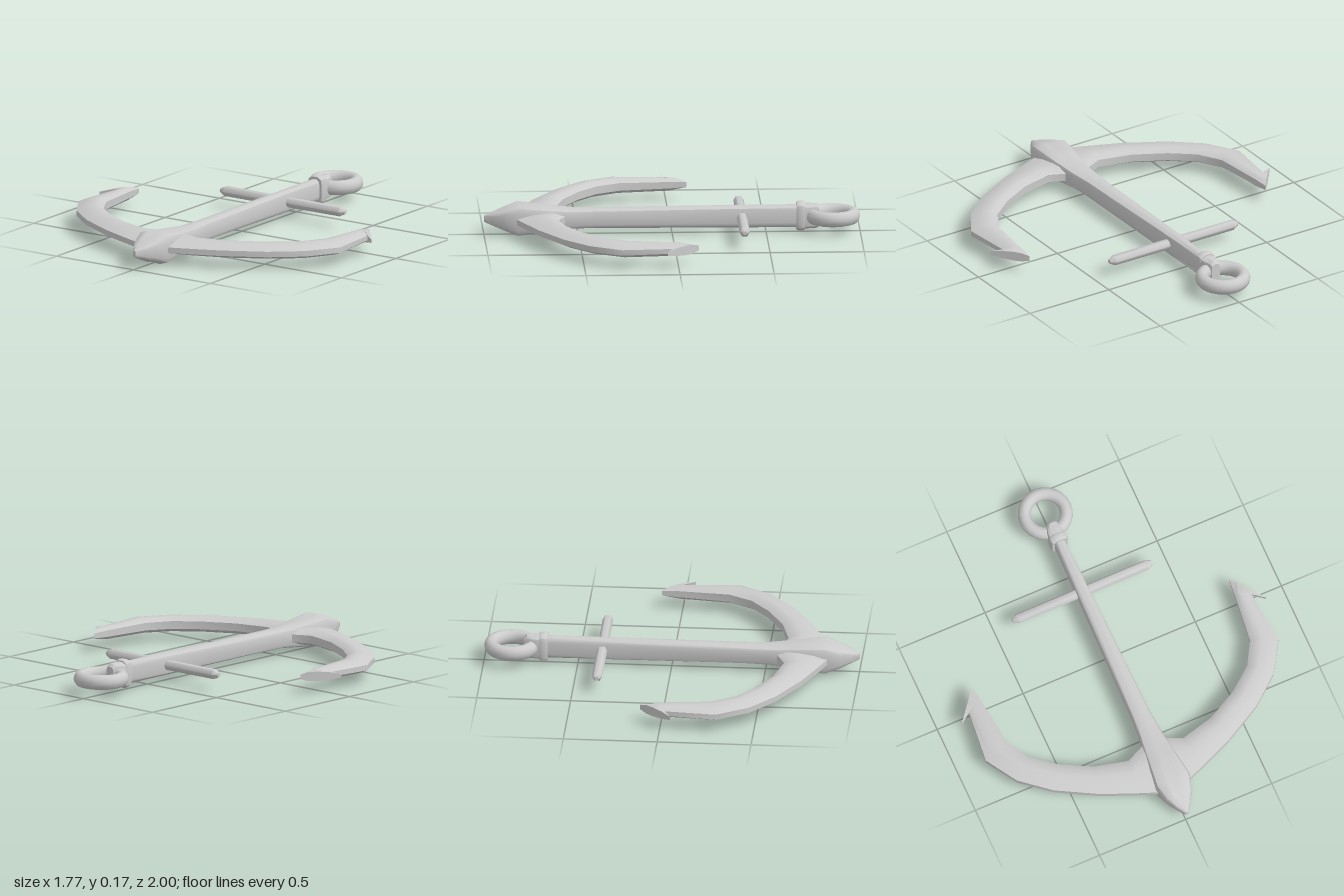
import * as THREE from 'three';
import { toCreasedNormals } from 'three/addons/utils/BufferGeometryUtils.js';

const MID = 0.095; // height of the plane the anchor lies in
const AXIS = 0.007; // the shank sits slightly to the left of the arms' middle
const material = new THREE.MeshStandardMaterial({ color: 0xcccccc });

function add(group, name, geometry) {
  const mesh = new THREE.Mesh(geometry, material);
  mesh.name = name;
  group.add(mesh);
  return mesh;
}

// Skins a list of closed rings of [x, y, z] points and caps both ends.
function loft(rings, crease, flip = false) {
  const n = rings[0].length;
  const points = rings.flat();
  const index = [];
  const tri = (a, b, c) => (flip ? index.push(a, c, b) : index.push(a, b, c));
  for (let r = 0; r < rings.length - 1; r++) {
    for (let i = 0; i < n; i++) {
      const a = r * n + i, b = r * n + (i + 1) % n;
      tri(a, b, b + n);
      tri(a, b + n, a + n);
    }
  }
  [0, rings.length - 1].forEach((r, end) => {
    const centre = [0, 1, 2].map(k => rings[r].reduce((s, p) => s + p[k], 0) / n);
    const c = points.push(centre) - 1;
    for (let i = 0; i < n; i++) {
      const a = r * n + i, b = r * n + (i + 1) % n;
      end ? tri(c, a, b) : tri(c, b, a);
    }
  });
  const geometry = new THREE.BufferGeometry();
  geometry.setAttribute('position', new THREE.Float32BufferAttribute(points.flat(), 3));
  geometry.setIndex(index);
  return toCreasedNormals(geometry, crease);
}

// Bevelled cross-section across z; groove is the height of its centre line.
function barRing([z, w, h, groove = 1]) {
  const quarter = [[0, groove], [0.38, 1], [0.9, 0.8], [1, 0.55]];
  const right = [...quarter, ...quarter.slice(1).reverse().map(([u, v]) => [u, -v])];
  const bottom = [[0, -groove]];
  const left = right.slice(1).reverse().map(([u, v]) => [-u, v]);
  return [...right, ...bottom, ...left].reverse()
    .map(([u, v]) => [AXIS + u * w, MID + v * h, z]);
}

// Arm section between an inner and an outer edge point in plan.
function armRing(side, [ix, iz, ox, oz, h]) {
  const top = [[0, 0.5], [0.2, 0.95], [0.42, 1], [0.72, 0.8], [1, 0.36]];
  const outline = [...top, ...top.slice().reverse().map(([t, v]) => [t, -v])];
  return outline.map(([t, v]) => [
    side * (ix + (ox - ix) * t), MID + v * h, iz + (oz - iz) * t,
  ]);
}

export function createModel() {
  const anchor = new THREE.Group();
  anchor.name = 'anchor';

  // Shank swelling into the pointed, grooved crown: z, half width, half height, groove
  add(anchor, 'shankAndCrown', loft([
    [-0.70, 0.029, 0.060],
    [-0.30, 0.036, 0.058],
    [0.40, 0.050, 0.053],
    [0.52, 0.060, 0.053],
    [0.66, 0.079, 0.067, 0.95],
    [0.82, 0.099, 0.087, 0.86],
    [0.90, 0.071, 0.057, 0.88],
    [0.96, 0.037, 0.033, 0.95],
    [1.00, 0.008, 0.017],
  ].map(barRing), 0.75));

  // Collar and tapered lug that holds the ring
  add(anchor, 'collar', loft([
    [-0.705, 0.046, 0.072], [-0.695, 0.049, 0.077],
    [-0.672, 0.049, 0.077], [-0.660, 0.043, 0.072],
  ].map(barRing), 0.55));
  add(anchor, 'ringLug', loft([
    [-0.785, 0.025, 0.050], [-0.772, 0.030, 0.064],
    [-0.730, 0.043, 0.066], [-0.695, 0.046, 0.066],
  ].map(barRing), 0.55));

  // Ring lying flat
  const ring = add(anchor, 'ring', new THREE.TorusGeometry(0.112, 0.035, 12, 24));
  ring.rotation.x = Math.PI / 2;
  ring.scale.z = 1.15;
  ring.position.set(AXIS, MID, -0.853);

  // Stock: smooth six-sided bar with chamfered ends
  const stockProfile = [[0, -0.405], [0.012, -0.405], [0.028, -0.375],
    [0.028, 0.375], [0.012, 0.405], [0, 0.405]].map(([r, y]) => new THREE.Vector2(r, y));
  const stock = add(anchor, 'stock',
    toCreasedNormals(new THREE.LatheGeometry(stockProfile, 6), 1.06));
  stock.rotation.z = Math.PI / 2;
  stock.position.set(AXIS, MID, -0.37);

  // Curved arms ending in barbed tips: inner x, z, outer x, z, half height
  const armSections = [
    [0.00, 0.53, 0.00, 0.865, 0.042],
    [0.07, 0.57, 0.10, 0.83, 0.042],
    [0.16, 0.61, 0.19, 0.795, 0.042],
    [0.34, 0.565, 0.37, 0.72, 0.042],
    [0.51, 0.475, 0.588, 0.60, 0.042],
    [0.635, 0.375, 0.745, 0.47, 0.042],
    [0.707, 0.25, 0.85, 0.30, 0.041],
    [0.738, -0.02, 0.82, 0.008, 0.035],
    [0.747, -0.11, 0.885, 0.06, 0.026],
  ];
  for (const [name, side] of [['leftArm', 1], ['rightArm', -1]]) {
    const rings = armSections.map(s => armRing(side, s));
    add(anchor, name, loft(rings, 0.75, side < 0));
  }
  return anchor;
}
